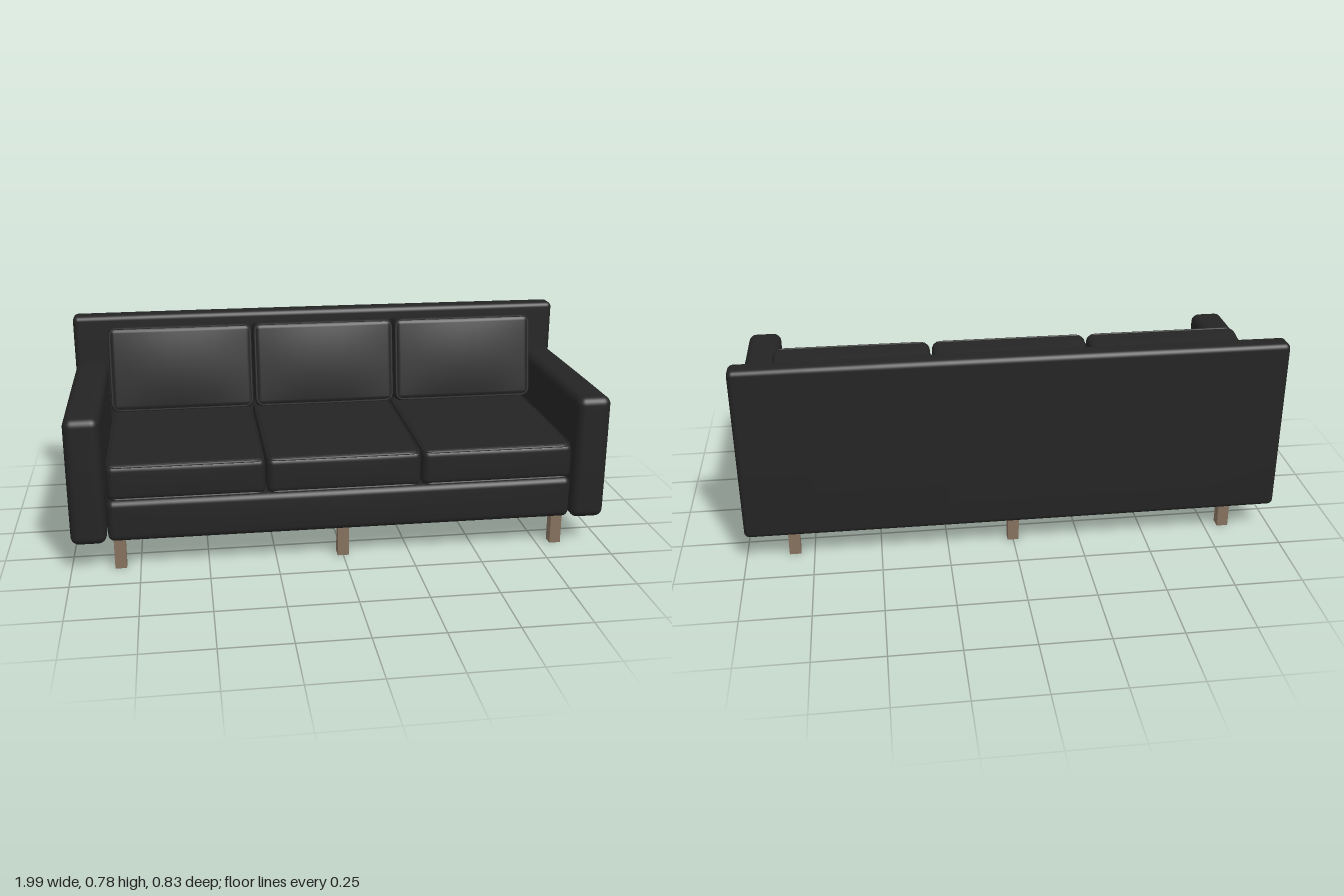
import * as THREE from 'three';
import { mergeVertices } from 'three/addons/utils/BufferGeometryUtils.js';

const upholstery = new THREE.MeshStandardMaterial({ color: 0x242424 });
upholstery.name = 'black upholstery';
const wood = new THREE.MeshStandardMaterial({ color: 0x86725f });
wood.name = 'brown wood';

// Box with rounded edges and optionally crowned faces (bulge per axis)
function softBox(size, r, bulge = [0, 0, 0]) {
  const k = 4, m = 8, n = 2 * k + m;
  const geo = new THREE.BoxGeometry(1, 1, 1, n, n, n);
  geo.deleteAttribute('uv');
  geo.deleteAttribute('normal');
  const half = size.map((s) => s / 2);
  // Pack grid lines into the corners so the rounding stays smooth
  const place = (t, h) => {
    const i = Math.round((t + 0.5) * n);
    const corner = (j) => h - r + r * Math.tan((Math.PI / 4) * (1 - j / k));
    if (i <= k) return -corner(i);
    if (i >= n - k) return corner(n - i);
    return (h - r) * (2 * (i - k) / m - 1);
  };
  const pos = geo.attributes.position;
  for (let v = 0; v < pos.count; v++) {
    const p = half.map((h, a) => place(pos.getComponent(v, a), h));
    const core = p.map((c, a) => THREE.MathUtils.clamp(c, r - half[a], half[a] - r));
    const dir = new THREE.Vector3(...p.map((c, a) => c - core[a])).setLength(r).toArray();
    const q = core.map((c, a) => c + dir[a]);
    q.forEach((c, a) => {
      const [b, d] = [(a + 1) % 3, (a + 2) % 3];
      const swell = (1 - (q[b] / half[b]) ** 2) * (1 - (q[d] / half[d]) ** 2);
      pos.setComponent(v, a, c + bulge[a] * swell * (c / half[a]));
    });
  }
  const merged = mergeVertices(geo, 1e-5);
  merged.computeVertexNormals();
  return merged;
}

function add(parent, name, geo, material, x = 0, y = 0, z = 0) {
  const mesh = new THREE.Mesh(geo, material);
  mesh.name = name;
  mesh.position.set(x, y, z);
  parent.add(mesh);
  return mesh;
}

// Closed cord following a rounded rectangle
function pipingGeometry(w, h, r, cord) {
  const path = new THREE.CurvePath();
  const pts = [];
  [[1, 1], [-1, 1], [-1, -1], [1, -1]].forEach(([sx, sy], i) => {
    const cx = sx * (w / 2 - r), cy = sy * (h / 2 - r);
    for (let j = 0; j <= 4; j++) {
      const a = (i + j / 4) * Math.PI / 2;
      pts.push(new THREE.Vector3(cx + r * Math.cos(a), cy + r * Math.sin(a), 0));
    }
  });
  pts.forEach((p, i) => path.add(new THREE.LineCurve3(p, pts[(i + 1) % pts.length])));
  return new THREE.TubeGeometry(path, 120, cord, 6, true);
}

// Cushion lying in the XY plane, with piping around both faces
function cushion(name, w, h, d, crown) {
  const group = new THREE.Group();
  group.name = name;
  const r = 0.024;
  add(group, name + 'Body', softBox([w, h, d], r, [0.001, 0.002, crown]), upholstery);
  const piping = pipingGeometry(w - 0.012, h - 0.012, 0.025, 0.005);
  for (const s of [-1, 1]) add(group, name + 'Piping', piping, upholstery, 0, 0, s * (d / 2 - 0.007));
  return group;
}

export function createModel() {
  const sofa = new THREE.Group();
  sofa.name = 'sofa';

  // Frame
  add(sofa, 'backPanel', softBox([1.99, 0.665, 0.082], 0.02, [0, 0.003, 0]), upholstery, 0, 0.447, -0.372);
  add(sofa, 'base', softBox([1.72, 0.158, 0.755], 0.024, [0, 0, 0.003]), upholstery, 0, 0.196, 0.025);
  for (const s of [-1, 1]) {
    add(sofa, 'arm', softBox([0.128, 0.476, 0.768], 0.03, [0.003, 0.004, 0]), upholstery, s * 0.929, 0.351, 0.03);
  }

  // Three seat cushions and three leaning back cushions
  for (const i of [-1, 0, 1]) {
    const seat = cushion('seatCushion', 0.566, 0.71, 0.136, 0.004);
    seat.rotation.x = -Math.PI / 2;
    seat.position.set(i * 0.572, 0.344, 0.053);
    sofa.add(seat);

    const back = cushion('backCushion', 0.562, 0.335, 0.148, 0.012);
    back.rotation.x = -0.18;
    back.position.set(i * 0.57, 0.59, -0.228);
    sofa.add(back);
  }

  // Six square legs
  const leg = new THREE.BoxGeometry(0.042, 0.12, 0.042);
  for (const x of [-0.822, 0, 0.822]) {
    for (const z of [0.351, -0.333]) add(sofa, 'leg', leg, wood, x, 0.06, z);
  }
  return sofa;
}
